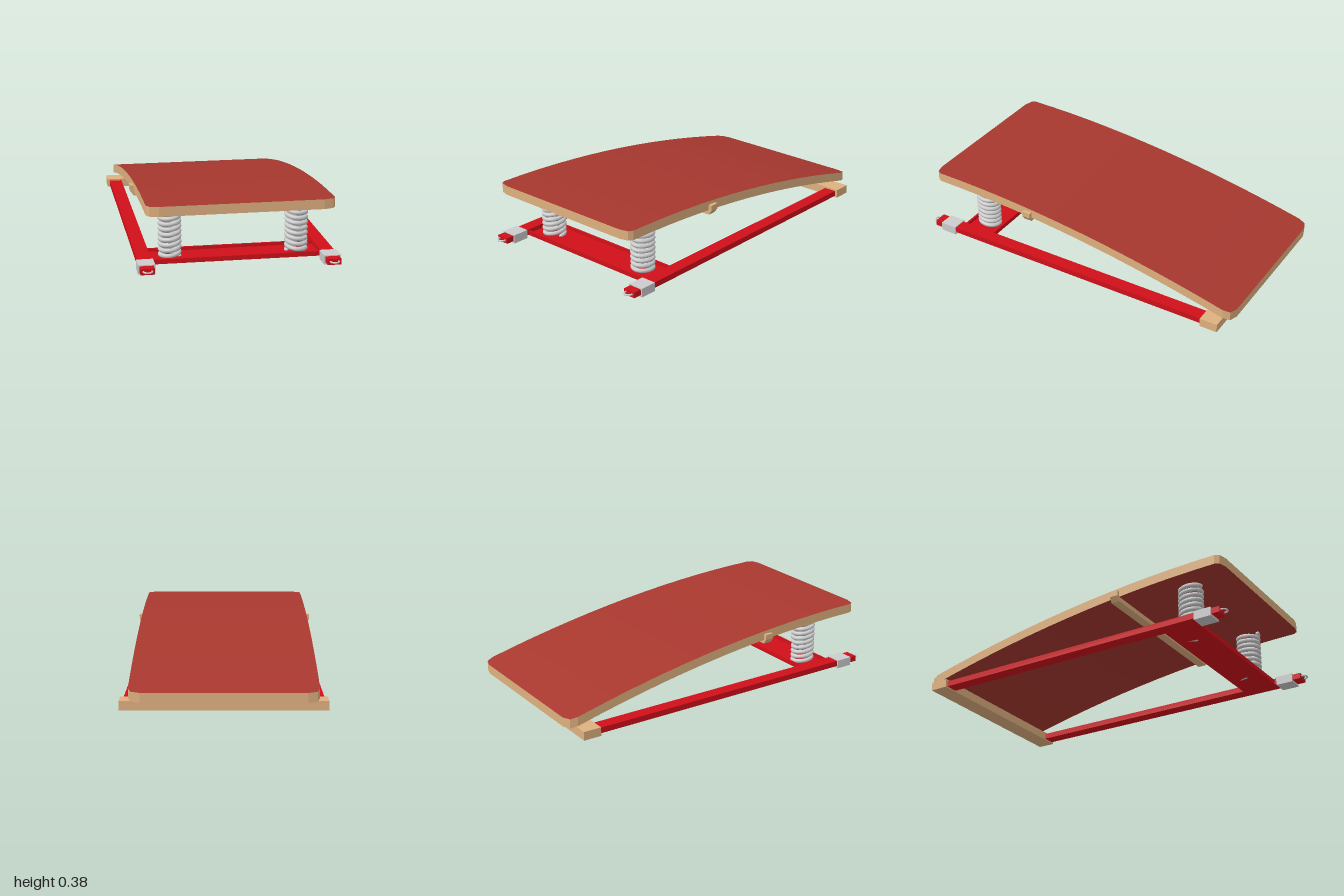
import * as THREE from 'three';

const mat = (color, extra = {}) => new THREE.MeshStandardMaterial({ color, ...extra });
const red = mat(0xd0101a);
const carpet = mat(0xa8382f);
const wood = mat(0xdeb07f, { flatShading: true });
const steel = mat(0xcccccc);

// Ruled surface between two polylines with the same number of points
function strip(a, b) {
  const pos = [], idx = [];
  a.forEach((p, i) => {
    pos.push(...p.toArray(), ...b[i].toArray());
    if (i) {
      const k = 2 * i;
      idx.push(k - 2, k, k - 1, k, k + 1, k - 1);
    }
  });
  const g = new THREE.BufferGeometry();
  g.setAttribute('position', new THREE.Float32BufferAttribute(pos, 3));
  g.setIndex(idx);
  g.computeVertexNormals();
  return g;
}

// Coil with slightly oval turns; side mirrors the winding
class Coil extends THREE.Curve {
  constructor(side) {
    super();
    this.side = side;
  }
  getPoint(t, target = new THREE.Vector3()) {
    const a = Math.PI + t * 9.75 * Math.PI * 2;
    return target.set(this.side * (0.348 + 0.052 * Math.cos(a)), 0.02 + 0.285 * t, 0.703 + 0.062 * Math.sin(a));
  }
}

export function createModel() {
  const group = new THREE.Group();
  const add = (name, geometry, material) => {
    const mesh = new THREE.Mesh(geometry, material);
    mesh.name = name;
    group.add(mesh);
    return mesh;
  };
  // Box given by its min and max corners
  const box = (name, material, x0, x1, y0, y1, z0, z1) =>
    add(name, new THREE.BoxGeometry(x1 - x0, y1 - y0, z1 - z0), material)
      .position.set((x0 + x1) / 2, (y0 + y1) / 2, (z0 + z1) / 2);

  // Curved board: rows of [z, half width] with clipped corners
  const rows = [[-1, 0.435], [-0.985, 0.485], [-0.945, 0.5]];
  for (let i = 1; i < 14; i++) rows.push([-0.945 + (1.875 * i) / 14, 0.5]);
  rows.push([0.93, 0.5], [0.955, 0.485], [0.968, 0.435]);
  const topY = z => 0.375 - 0.0715 * Math.pow(Math.max(0, 0.968 - z), 1.93);
  const line = (side, drop) => rows.map(([z, w]) => new THREE.Vector3(side * w, topY(z) - drop, z));
  const rim = drop => {
    const right = line(1, drop);
    return [...right, ...line(-1, drop).reverse(), right[0].clone()];
  };
  const thick = 0.053;
  add('boardTop', strip(line(-1, 0), line(1, 0)), carpet);
  add('boardUnderside', strip(line(1, thick), line(-1, thick)), carpet);
  add('boardEdge', strip(rim(0), rim(thick)), wood);

  // Stiffening bar under the board, ends bevelled below
  const bar = new THREE.Shape([[-0.5, 0.265], [0.5, 0.265], [0.52, 0.293], [0.52, 0.324], [-0.52, 0.324], [-0.52, 0.293]]
    .map(p => new THREE.Vector2(...p)));
  add('underBar', new THREE.ExtrudeGeometry(bar, { depth: 0.05, bevelEnabled: false }).translate(0, 0, 0.285), wood);

  // Rear ground beam
  box('rearBeam', wood, -0.55, 0.55, 0.005, 0.055, -0.94, -0.835);

  // Channel-shaped cross member carrying the springs
  box('crossPlate', red, -0.47, 0.47, 0.012, 0.02, 0.6, 0.805);
  box('crossLipFront', red, -0.47, 0.47, 0.012, 0.038, 0.793, 0.805);
  box('crossLipRear', red, -0.47, 0.47, 0.012, 0.038, 0.6, 0.612);

  for (const s of [-1, 1]) {
    const side = s > 0 ? 'left' : 'right';
    const span = (a, b) => (s > 0 ? [a, b] : [-b, -a]);

    // Side rail, sleeve foot and tie ring
    box(side + 'Rail', red, ...span(0.46, 0.535), 0.012, 0.045, -0.85, 0.968);
    box(side + 'Foot', steel, ...span(0.452, 0.543), 0, 0.05, 0.82, 0.92);
    const ring = add(side + 'Ring', new THREE.TorusGeometry(0.023, 0.005, 8, 24), steel);
    ring.rotation.x = Math.PI / 2;
    ring.position.set(s * 0.497, 0.031, 0.972);

    // Spring with rounded ends
    const coil = new Coil(s);
    add(side + 'Spring', new THREE.TubeGeometry(coil, 260, 0.012, 10), steel);
    for (const t of [0, 1])
      add(side + 'SpringEnd', new THREE.SphereGeometry(0.012, 10, 8), steel).position.copy(coil.getPoint(t));
  }
  return group;
}
